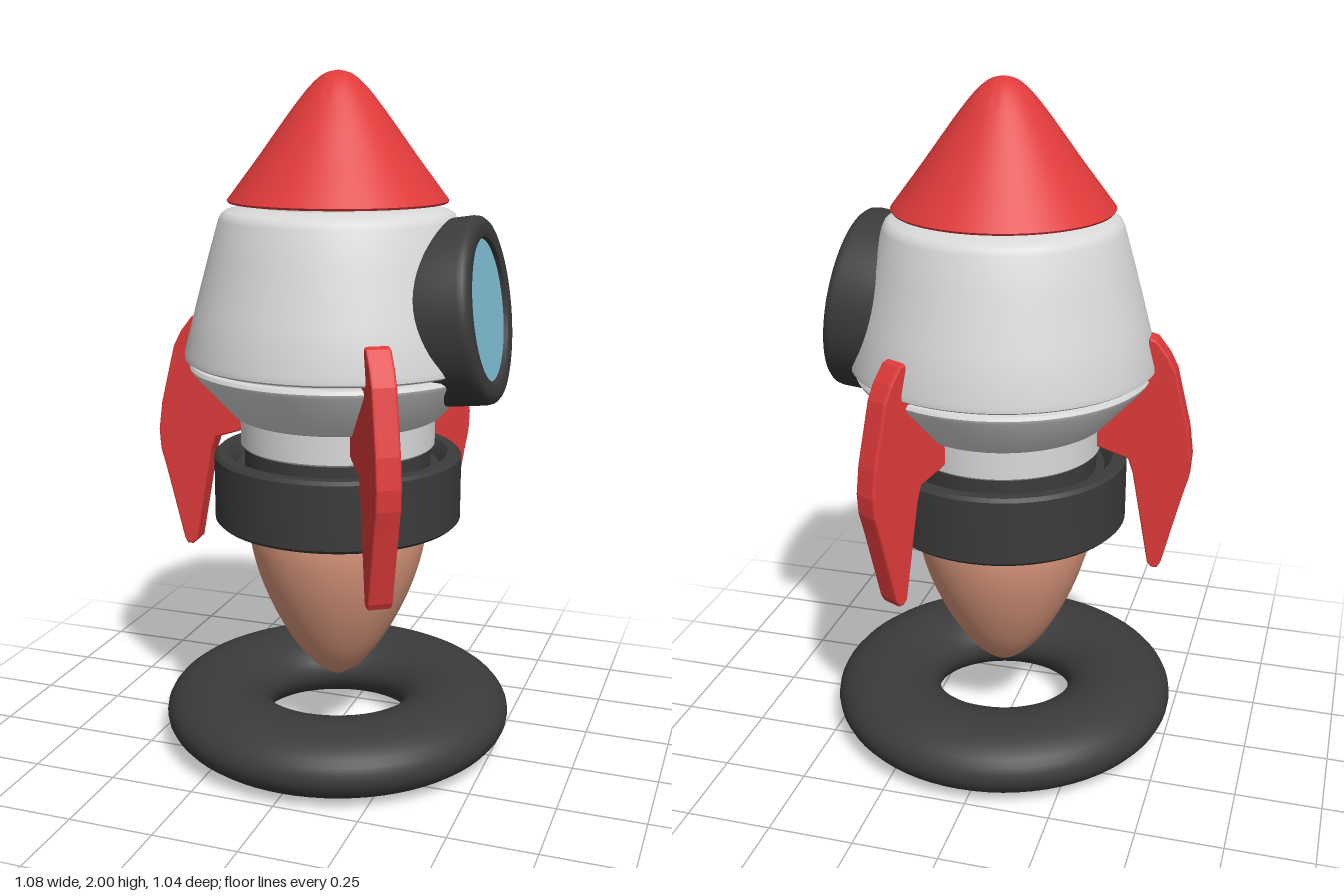
import * as THREE from 'three';
import { toCreasedNormals } from 'three/addons/utils/BufferGeometryUtils.js';

const mat = (name, color) => new THREE.MeshStandardMaterial({ name, color });

// Surface of revolution from [radius, y] pairs, optionally smoothed by a spline
function lathe(name, pairs, material, smooth = false) {
  let pts = pairs.map(([r, y]) => new THREE.Vector2(r, y));
  if (smooth) {
    pts = new THREE.SplineCurve(pts).getPoints(40);
    pts.forEach((p) => { p.x = Math.max(p.x, 0); });
  }
  const geo = toCreasedNormals(new THREE.LatheGeometry(pts, 64), 0.6);
  const mesh = new THREE.Mesh(geo, material);
  mesh.name = name;
  return mesh;
}

export function createModel() {
  const red = mat('red', 0xe03a3a);
  const white = mat('lightGrey', 0xdadada);
  const dark = mat('charcoal', 0x3b3b3b);
  const flameColor = mat('copperFlame', 0xdd997e);
  const glassColor = mat('blueGlass', 0x84c3da);

  const model = new THREE.Group();
  model.name = 'rocket';
  const body = new THREE.Group();
  body.name = 'rocketBody';
  body.position.x = 0.018;
  model.add(body);

  // Base ring with an oval section
  const baseGeo = new THREE.TorusGeometry(0.362, 0.16, 32, 72);
  baseGeo.rotateX(Math.PI / 2);
  baseGeo.scale(1, 0.1 / 0.16, 1);
  const base = new THREE.Mesh(baseGeo, dark);
  base.name = 'baseRing';
  base.position.y = 0.1;
  body.add(base);

  // Exhaust flame
  body.add(lathe('flame', [[0, 0.2], [0.03, 0.21], [0.085, 0.255], [0.145, 0.335], [0.203, 0.445],
    [0.245, 0.56], [0.264, 0.67], [0.25, 0.78], [0.2, 0.86]], flameColor, true));

  // Hollow nozzle collar, closed halfway up
  body.add(lathe('nozzleCollar', [[0, 0.78], [0.3, 0.78], [0.315, 0.71], [0.325, 0.703], [0.355, 0.703],
    [0.365, 0.713], [0.365, 0.9], [0.355, 0.91], [0.325, 0.91], [0.315, 0.9], [0.3, 0.87], [0.275, 0.87],
    [0.275, 0.935], [0, 0.935]], dark));

  // Neck and flared skirt
  body.add(lathe('neck', [[0, 0.93], [0.28, 0.93], [0.286, 0.936], [0.286, 1.05]], white));
  body.add(lathe('skirt', [[0.2, 1.02], [0.295, 1.02], [0.308, 1.027], [0.425, 1.155], [0.43, 1.166],
    [0.425, 1.176], [0.405, 1.178], [0.405, 1.2]], white));

  // Upper hull with rounded shoulders and a short collar under the nose
  body.add(lathe('hull', [[0.38, 1.188], [0.435, 1.188], [0.444, 1.194], [0.444, 1.21], [0.41, 1.34],
    [0.372, 1.48], [0.341, 1.588], [0.334, 1.603], [0.32, 1.613], [0.245, 1.626], [0.24, 1.65]], white));

  // Nose cone
  body.add(lathe('noseUnderside', [[0, 1.636], [0.312, 1.636], [0.316, 1.642]], red));
  body.add(lathe('noseCone', [[0.316, 1.642], [0.27, 1.703], [0.225, 1.763], [0.175, 1.832], [0.125, 1.9],
    [0.08, 1.955], [0.04, 1.989], [0, 2]], red, true));

  // Three fins spaced evenly around the body
  const fin = new THREE.Shape([[0.425, 1.295], [0.39, 1.2], [0.272, 1.035], [0.272, 0.962], [0.3, 0.95],
    [0.375, 0.925], [0.39, 0.88], [0.442, 0.595], [0.455, 0.582], [0.472, 0.582], [0.482, 0.6], [0.535, 0.815],
    [0.553, 0.88], [0.557, 0.94], [0.546, 1.025], [0.503, 1.2], [0.48, 1.245], [0.445, 1.29]]
    .map(([r, y]) => new THREE.Vector2(r, y)));
  const finGeo = new THREE.ExtrudeGeometry(fin, {
    depth: 0.056, bevelEnabled: true, bevelSize: 0.005, bevelOffset: -0.005, bevelThickness: 0.007, bevelSegments: 2,
  });
  finGeo.translate(0, 0, -0.028);
  [57, 177, 297].forEach((deg, i) => {
    const mesh = new THREE.Mesh(finGeo, red);
    mesh.name = `fin${i + 1}`;
    mesh.rotation.y = -THREE.MathUtils.degToRad(deg);
    body.add(mesh);
  });

  // Round porthole on the left side, tilted slightly upwards
  const porthole = new THREE.Group();
  porthole.name = 'porthole';
  porthole.position.set(0.473, 1.35, 0.004);
  porthole.rotation.z = -THREE.MathUtils.degToRad(82.5);
  porthole.add(lathe('portholeFrame', [[0, -0.17], [0.262, -0.17], [0.265, -0.03], [0.262, -0.014],
    [0.253, -0.004], [0.24, 0], [0.212, 0], [0.203, -0.004], [0.2, -0.025], [0, -0.025]], dark));
  const glass = new THREE.Mesh(new THREE.CylinderGeometry(0.2, 0.2, 0.008, 64), glassColor);
  glass.name = 'portholeGlass';
  glass.position.y = -0.02;
  porthole.add(glass);
  model.add(porthole);

  return model;
}
